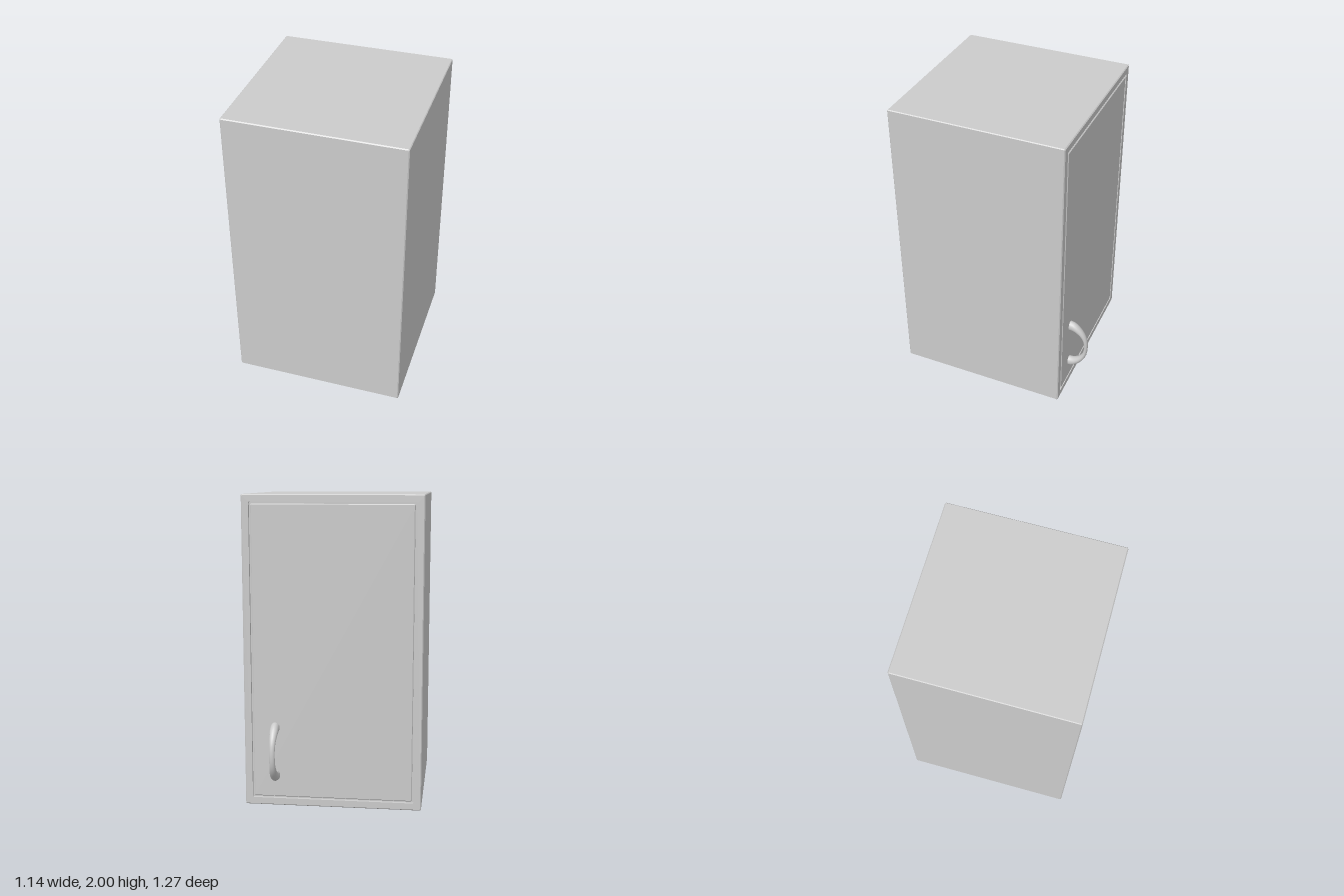
import * as THREE from 'three';

// Skins a list of closed rings (counter-clockwise about the direction of travel) and caps both ends.
function loft(rings) {
  const n = rings[0].length, index = [];
  for (let k = 0; k < rings.length - 1; k++) {
    for (let i = 0; i < n; i++) {
      const a = k * n + i, b = k * n + (i + 1) % n;
      index.push(a, b, b + n, a, b + n, a + n);
    }
  }
  const last = (rings.length - 1) * n;
  for (let i = 1; i < n - 1; i++) {
    index.push(0, i + 1, i, last, last + i, last + i + 1);
  }
  const geometry = new THREE.BufferGeometry().setFromPoints(rings.flat());
  geometry.setIndex(index);
  geometry.computeVertexNormals();
  return geometry;
}

// Rectangle with clipped corners, drawn in from the cabinet outline by an inset.
function rectRing([inset, z, clip = 0.005]) {
  const w = 0.57 - inset, h = 1 - inset;
  return [
    [w, clip - h], [w, h - clip], [w - clip, h], [clip - w, h],
    [-w, h - clip], [-w, clip - h], [clip - w, -h], [w - clip, -h],
  ].map(([x, y]) => new THREE.Vector3(x, y + 1, z));
}

function handleGeometry() {
  // Half of the bow as [height above middle, z, half thickness, half width]
  const half = [
    [0, -0.623, 0.012, 0.018],
    [0.06, -0.615, 0.014, 0.019],
    [0.105, -0.592, 0.019, 0.023],
    [0.14, -0.556, 0.026, 0.028],
    [0.156, -0.525, 0.034, 0.029],
    [0.158, -0.495, 0.037, 0.029],
  ];
  const stations = [
    ...half.slice(1).reverse().map(([y, z, t, w]) => [-y, z, t, w]),
    ...half,
  ];
  const path = new THREE.CatmullRomCurve3(stations.map(([y, z]) => new THREE.Vector3(0.37, 0.36 + y, z)));
  const size = new THREE.CatmullRomCurve3(stations.map(([, , t, w]) => new THREE.Vector3(t, w, 0)));
  const across = new THREE.Vector3(1, 0, 0), steps = 20, sides = 16, rings = [];
  for (let k = 0; k <= steps; k++) {
    const u = k / steps, centre = path.getPoint(u), s = size.getPoint(u);
    const normal = path.getTangent(u).cross(across).normalize();
    rings.push(Array.from({ length: sides }, (_, i) => {
      const a = i / sides * Math.PI * 2;
      return centre.clone()
        .addScaledVector(across, Math.cos(a) * s.y)
        .addScaledVector(normal, Math.sin(a) * s.x);
    }));
  }
  return loft(rings);
}

export function createModel() {
  const group = new THREE.Group();
  group.name = 'wallCabinet';
  const flat = new THREE.MeshStandardMaterial({ color: 0xcccccc, flatShading: true });
  const smooth = new THREE.MeshStandardMaterial({ color: 0xcccccc });
  const add = (name, geometry, material) => {
    const mesh = new THREE.Mesh(geometry, material);
    mesh.name = name;
    group.add(mesh);
  };

  // Carcass: recess floor, recess wall, frame face, bevel, sides, bevel, plain panel
  add('carcass', loft([
    [0.047, -0.485], [0.047, -0.505], [0.006, -0.505],
    [0, -0.499], [0, 0.629], [0.006, 0.635],
  ].map(rectRing)), flat);

  // Door set flush in the frame with a narrow gap around it
  add('door', loft([
    [0.064, -0.505], [0.059, -0.5], [0.059, -0.48],
  ].map(rectRing)), flat);

  // Bow handle, thick at the feet and slim in the middle
  add('handle', handleGeometry(), smooth);
  return group;
}
